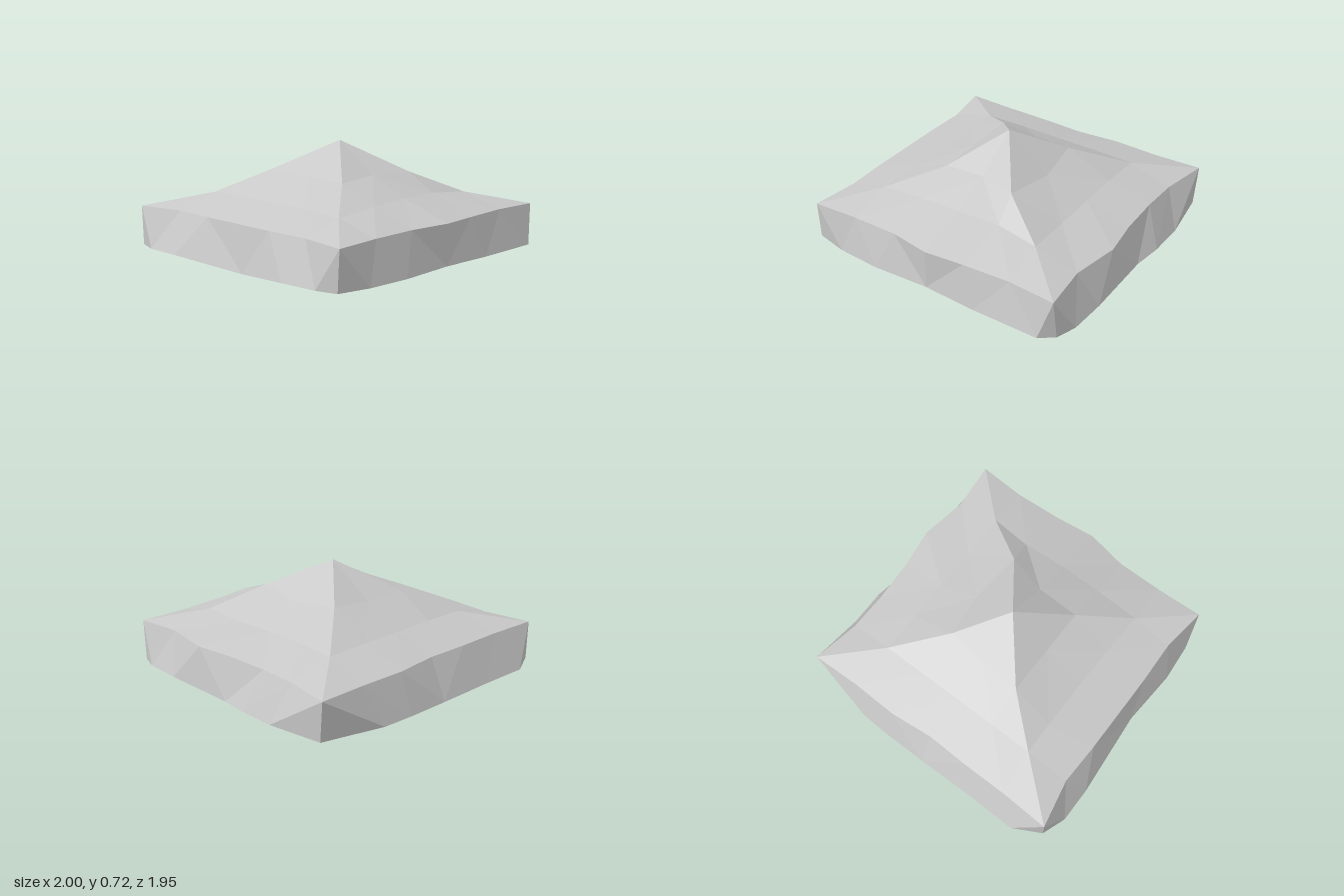
import * as THREE from 'three';

const canvas = new THREE.MeshStandardMaterial({ color: 0xc8c8c8, side: THREE.DoubleSide, flatShading: true });
canvas.name = 'grey canvas';

// Each ring runs counter-clockwise from the front right-hand corner at -x: front, +x side, back, -x side.
// Points are [x, z] or [x, z, y]; y falls back to the height of the ring.
const ring = (height, points) => points.map(([x, z, y = height]) => new THREE.Vector3(x, y, z));

const peak = ring(0.72, [[0, 0.03]]);

const upper = ring(0.51, [
  [-0.29, 0.33, 0.5], [0, 0.33, 0.52],
  [0.27, 0.4, 0.52], [0.31, 0.04, 0.49],
  [0.27, -0.27, 0.53], [0, -0.3],
  [-0.29, -0.32, 0.52], [-0.29, 0.02],
]);

const middle = ring(0.375, [
  [-0.6, 0.6, 0.365], [-0.29, 0.6, 0.39], [0, 0.6, 0.4], [0.3, 0.58, 0.395],
  [0.59, 0.61, 0.37], [0.585, 0.3, 0.36], [0.585, 0, 0.37], [0.585, -0.28],
  [0.59, -0.57, 0.37], [0.29, -0.57], [0, -0.57], [-0.29, -0.57],
  [-0.58, -0.57, 0.37], [-0.58, -0.35], [-0.58, 0], [-0.59, 0.3],
]);

const eave = ring(0.288, [
  [-0.92, 0.915, 0.285], [-0.6, 0.9], [-0.28, 0.9], [0, 0.95, 0.292], [0.27, 0.92], [0.6, 0.9],
  [0.92, 0.92, 0.285], [0.885, 0.6], [0.94, 0.27], [0.9, 0], [0.885, -0.3], [0.89, -0.56],
  [0.95, -0.89, 0.292], [0.62, -0.88], [0.3, -0.89], [0, -0.86], [-0.29, -0.87], [-0.6, -0.87],
  [-0.945, -0.885, 0.285], [-0.88, -0.56], [-0.89, -0.27], [-0.89, 0], [-0.89, 0.3], [-0.88, 0.6],
]);

const hem = ring(0.022, [
  [-0.92, 0.9], [-0.7, 0.95], [-0.4, 0.97], [0, 0.95], [0.37, 0.97], [0.84, 0.97],
  [0.93, 0.89, 0.015], [0.98, 0.76], [0.99, 0.5], [0.97, -0.02, 0.012], [1, -0.22], [1, -0.48],
  [0.94, -0.86], [0.52, -0.97], [0.3, -0.98], [0, -0.98], [-0.4, -0.975], [-0.75, -0.98],
  [-0.94, -0.88], [-1, -0.72, 0.027], [-1, -0.48, 0.027], [-0.95, 0.12, 0], [-0.98, 0.5], [-0.96, 0.76],
]);

// Joins a ring to the next larger one, keeping a ridge at every corner
function roofBand(inner, outer) {
  const faces = [];
  const n = outer.length / 4;
  const m = n - 2;
  for (let side = 0; side < 4; side++) {
    const o = (k) => outer[(side * n + k) % outer.length];
    const i = (k) => inner[(side * m + k) % inner.length];
    faces.push(o(0), o(1), i(0));
    for (let k = 0; k < m; k++) {
      if (k < m / 2) faces.push(o(k + 1), o(k + 2), i(k + 1), o(k + 1), i(k + 1), i(k));
      else faces.push(o(k + 1), o(k + 2), i(k), o(k + 2), i(k + 1), i(k));
    }
    faces.push(o(n - 1), o(n), i(m));
  }
  return faces;
}

// Joins two rings with the same number of points
function wallBand(top, bottom) {
  const faces = [];
  const n = top.length;
  for (let k = 0; k < n; k++) {
    const next = (k + 1) % n;
    // Split each panel so that both panels at a corner meet at the eave corner
    if (k % 6 < 3) faces.push(top[k], bottom[k], bottom[next], top[k], bottom[next], top[next]);
    else faces.push(top[k], bottom[k], top[next], bottom[k], bottom[next], top[next]);
  }
  return faces;
}

function cloth(name, faces) {
  const geometry = new THREE.BufferGeometry().setFromPoints(faces);
  geometry.computeVertexNormals();
  const mesh = new THREE.Mesh(geometry, canvas);
  mesh.name = name;
  return mesh;
}

export function createModel() {
  const model = new THREE.Group();
  model.name = 'canopy';
  // Sagging four-sided roof
  model.add(cloth('roof', [
    ...roofBand(peak, upper), ...roofBand(upper, middle), ...roofBand(middle, eave),
  ]));
  // Wavy cloth hanging from the eaves
  model.add(cloth('valance', wallBand(eave, hem)));
  return model;
}
